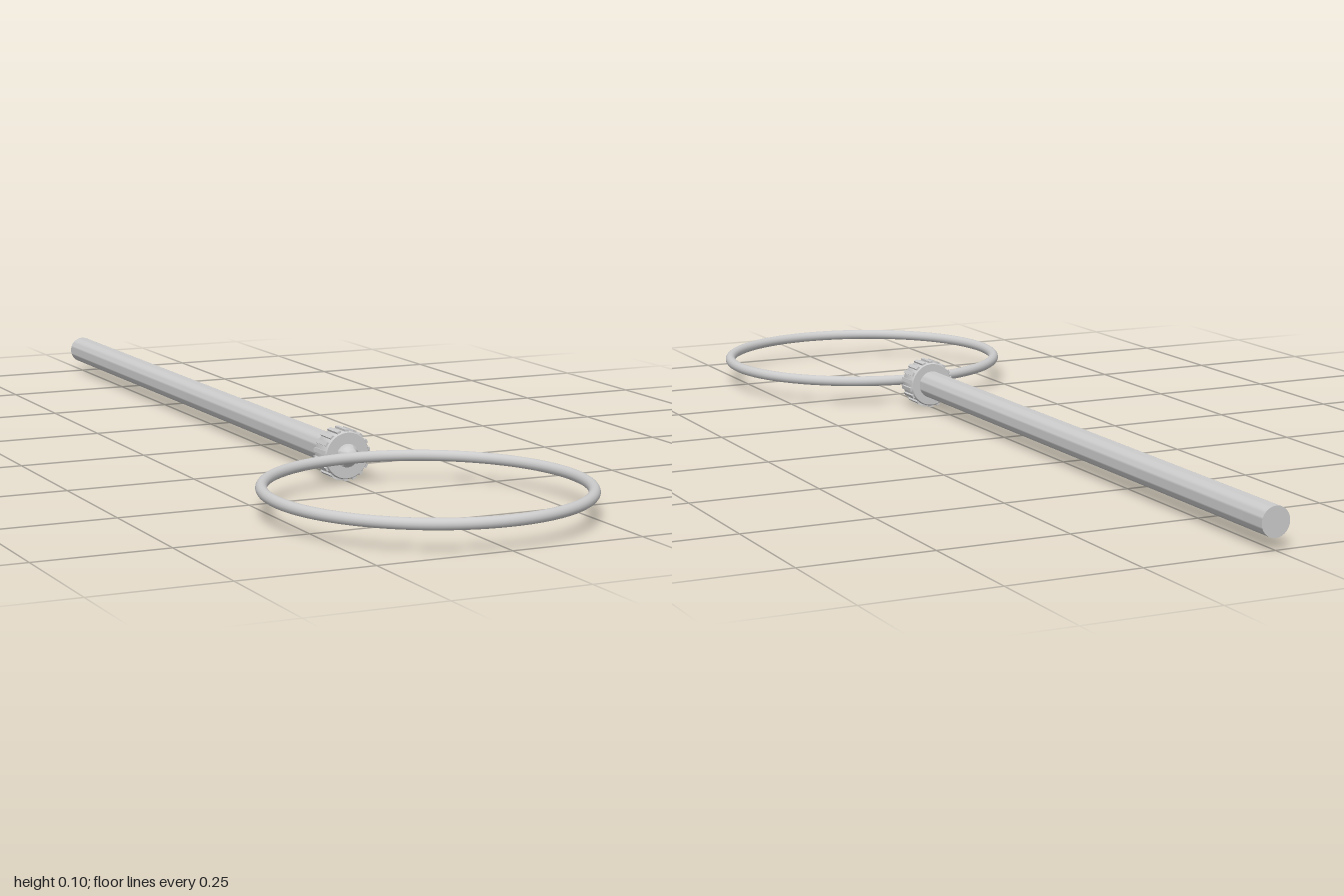
import * as THREE from 'three';
import { toCreasedNormals } from 'three/addons/utils/BufferGeometryUtils.js';

const AXIS_Y = 0.05;

export function createModel() {
  const model = new THREE.Group();
  model.name = 'hoopOnPole';
  const grey = new THREE.MeshStandardMaterial({ color: 0xcccccc });

  const add = (name, geometry, parent = model) => {
    const mesh = new THREE.Mesh(geometry, grey);
    mesh.name = name;
    parent.add(mesh);
    return mesh;
  };

  // Turned part around the z axis; points are [radius, z] from back to front
  const turned = (name, points, parent) => {
    const profile = points.map(([r, z]) => new THREE.Vector2(r, z));
    const geometry = new THREE.LatheGeometry(profile, 48).rotateX(Math.PI / 2);
    return add(name, toCreasedNormals(geometry, 0.6), parent);
  };

  // Flat hoop at the front
  const hoop = add('hoop', new THREE.TorusGeometry(0.289, 0.0105, 16, 96).rotateX(Math.PI / 2));
  hoop.position.set(0, AXIS_Y, 0.7);

  const shaft = new THREE.Group();
  shaft.name = 'shaft';
  shaft.position.y = AXIS_Y;
  model.add(shaft);

  // Long pole
  turned('pole', [[0, -1], [0.0275, -1], [0.0275, 0.345], [0, 0.345]], shaft);

  // Clamping collar
  turned('collar', [
    [0, 0.338], [0.043, 0.338], [0.045, 0.341], [0.045, 0.383], [0.043, 0.386], [0, 0.386],
  ], shaft);

  // Neck joining the collar to the hoop
  turned('neck', [
    [0, 0.38], [0.022, 0.38], [0.022, 0.388], [0.018, 0.391], [0.014, 0.402], [0.008, 0.408], [0, 0.41],
  ], shaft);

  // Grip ridges around the collar
  const grip = new THREE.Group();
  grip.name = 'gripRidges';
  shaft.add(grip);
  const ridge = new THREE.BoxGeometry(0.008, 0.006, 0.042);
  const count = 18;
  for (let i = 0; i < count; i++) {
    const angle = (i / count) * Math.PI * 2;
    const mesh = add('gripRidge', ridge, grip);
    mesh.position.set(-Math.sin(angle) * 0.0455, Math.cos(angle) * 0.0455, 0.362);
    mesh.rotation.z = angle;
  }

  return model;
}
